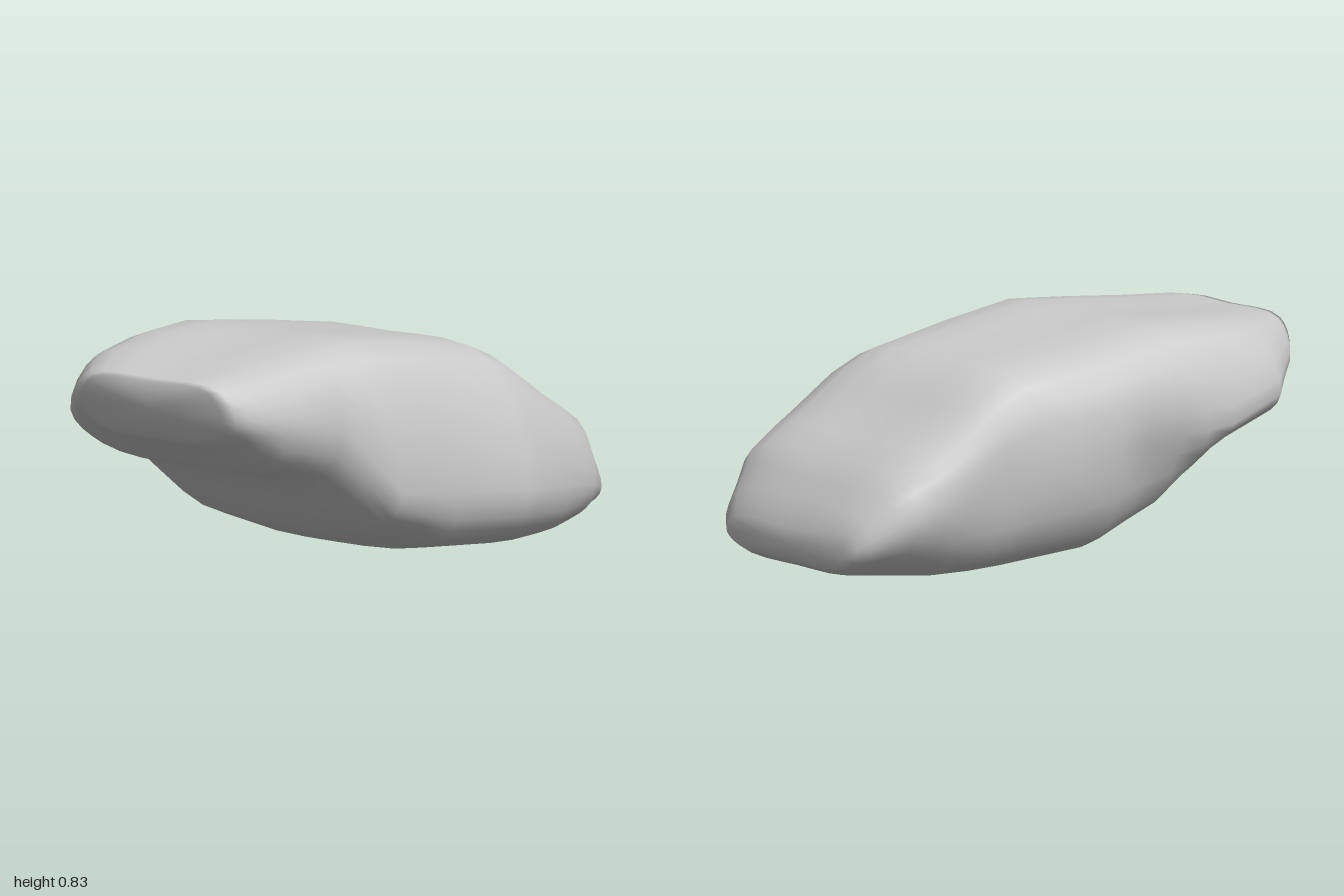
import * as THREE from 'three';

// Cross-sections along x:
// x, topY, bottomY, frontZ, frontY, backZ, backY, topFrontZ, topBackZ, bottomFrontZ, bottomBackZ
const SECTIONS = [
  [-0.97, 0.76, 0.55, 0.24, 0.64, -0.37, 0.66, 0.20, -0.30, 0.16, -0.30],
  [-0.90, 0.77, 0.51, 0.31, 0.62, -0.46, 0.63, 0.25, -0.36, 0.22, -0.36],
  [-0.72, 0.79, 0.41, 0.36, 0.60, -0.60, 0.55, 0.28, -0.48, 0.27, -0.46],
  [-0.48, 0.81, 0.35, 0.40, 0.55, -0.62, 0.48, 0.33, -0.52, 0.32, -0.50],
  [-0.27, 0.825, 0.14, 0.51, 0.31, -0.61, 0.46, 0.40, -0.52, 0.43, -0.46],
  [0.00, 0.79, 0.04, 0.56, 0.28, -0.58, 0.43, 0.42, -0.50, 0.48, -0.45],
  [0.33, 0.735, 0.01, 0.62, 0.24, -0.49, 0.37, 0.43, -0.43, 0.53, -0.38],
  [0.45, 0.68, 0.005, 0.61, 0.23, -0.455, 0.34, 0.44, -0.42, 0.53, -0.35],
  [0.60, 0.56, 0.01, 0.59, 0.21, -0.43, 0.30, 0.47, -0.40, 0.52, -0.31],
  [0.80, 0.43, 0.04, 0.56, 0.18, -0.41, 0.25, 0.48, -0.36, 0.49, -0.27],
  [0.91, 0.29, 0.06, 0.52, 0.15, -0.31, 0.18, 0.45, -0.27, 0.44, -0.22],
  [0.96, 0.20, 0.09, 0.46, 0.14, -0.22, 0.15, 0.41, -0.19, 0.40, -0.18],
];
const STEPS = 32;

// Smooth closed outline through the eight key points of a section
function outline([x, top, bottom, fz, fy, bz, by, tf, tb, bf, bb]) {
  const h = top - bottom;
  const keys = [
    [tf, top - 0.07 * h], [(tf + tb) / 2, top], [tb, top - 0.07 * h], [bz, by],
    [bb, bottom + 0.1 * h], [(bf + bb) / 2, bottom], [bf, bottom + 0.08 * h], [fz, fy],
  ].map(([z, y]) => new THREE.Vector3(x, y, z));
  const curve = new THREE.CatmullRomCurve3(keys, true, 'centripetal');
  return Array.from({ length: STEPS }, (_, i) => curve.getPoint(i / STEPS));
}

// Slant both ends and press a hollow into the back
function weather(p) {
  const leftEnd = THREE.MathUtils.smoothstep(-p.x, 0.7, 0.97);
  const rightEnd = THREE.MathUtils.smoothstep(p.x, 0.7, 0.96);
  const hollow = Math.exp(-(((p.x + 0.18) / 0.13) ** 2) - ((p.y - 0.36) / 0.16) ** 2);
  if (p.z < -0.3) p.z += 0.06 * hollow;
  p.x -= leftEnd * (p.y - 0.66) * 0.28;
  p.x += rightEnd * (0.14 - p.z) * 0.1;
  return p;
}

function rockGeometry() {
  const rings = [];
  // Halfway rings keep the lengthwise shape even
  SECTIONS.forEach((s, i) => {
    rings.push(outline(s));
    const next = SECTIONS[i + 1];
    if (next) rings.push(outline(s.map((v, k) => (v + next[k]) / 2)));
  });
  const points = rings.flat().map(weather);
  const index = [];
  for (let r = 0; r < rings.length - 1; r++) {
    for (let i = 0; i < STEPS; i++) {
      const a = r * STEPS + i, b = r * STEPS + ((i + 1) % STEPS);
      index.push(a, a + STEPS, b, b, a + STEPS, b + STEPS);
    }
  }
  // End caps
  for (const [start, flip] of [[0, false], [(rings.length - 1) * STEPS, true]]) {
    const centre = new THREE.Vector3();
    for (let i = 0; i < STEPS; i++) centre.addScaledVector(points[start + i], 1 / STEPS);
    centre.x += flip ? 0.01 : -0.01;
    const c = points.push(centre) - 1;
    for (let i = 0; i < STEPS; i++) {
      const a = start + i, b = start + ((i + 1) % STEPS);
      index.push(c, flip ? b : a, flip ? a : b);
    }
  }
  const geometry = new THREE.BufferGeometry().setFromPoints(points);
  geometry.setIndex(index);
  geometry.computeVertexNormals();
  return geometry;
}

export function createModel() {
  const group = new THREE.Group();
  group.name = 'boulder';
  const material = new THREE.MeshStandardMaterial({ color: 0xcccccc });
  const rock = new THREE.Mesh(rockGeometry(), material);
  rock.name = 'rock';
  group.add(rock);
  return group;
}
